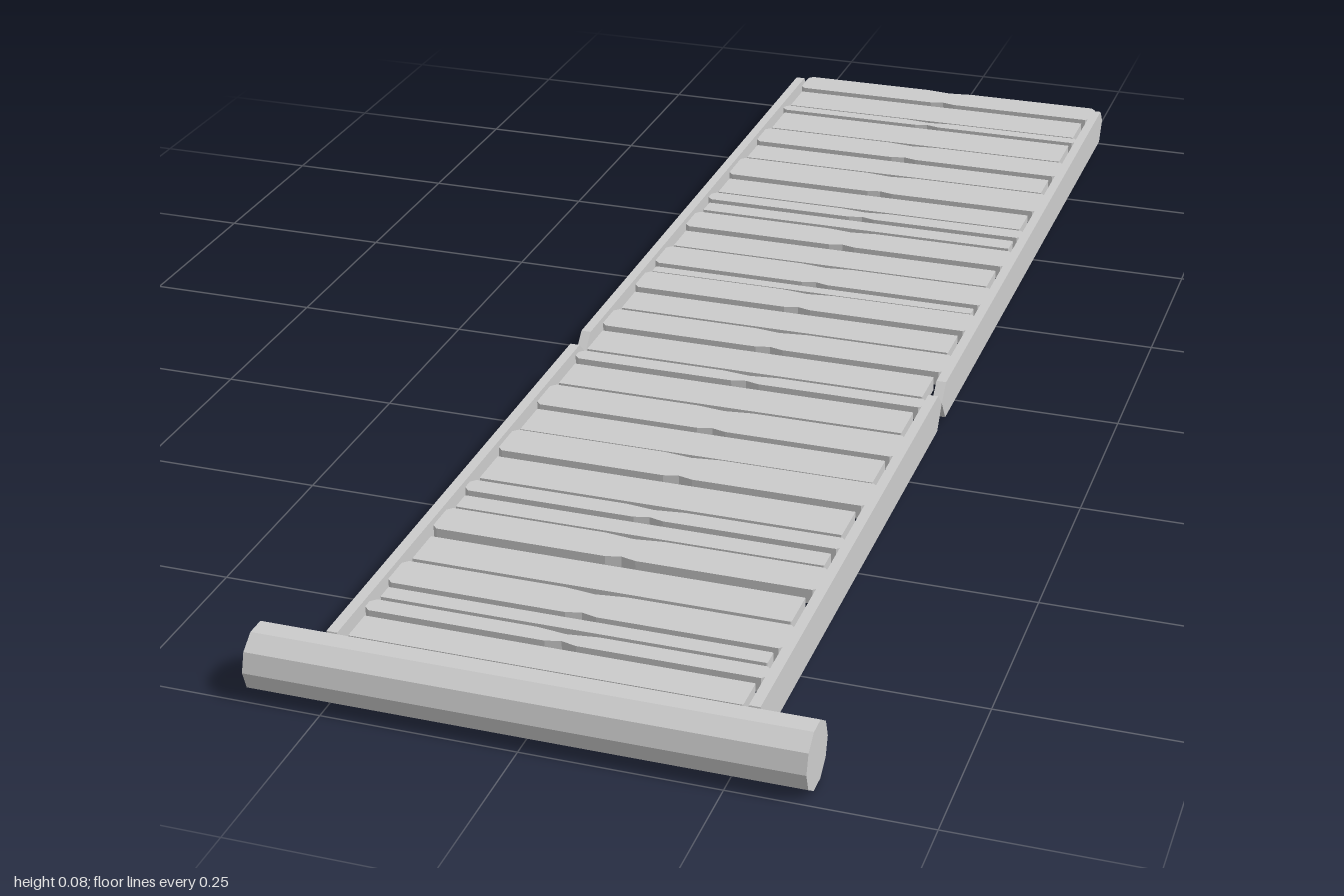
import * as THREE from 'three';

const wood = new THREE.MeshStandardMaterial({ color: 0xcccccc, flatShading: true });

function add(group, name, geometry, x = 0, y = 0, z = 0) {
  const mesh = new THREE.Mesh(geometry, wood);
  mesh.name = name;
  mesh.position.set(x, y, z);
  group.add(mesh);
  return mesh;
}

function extrude(points, depth) {
  const shape = new THREE.Shape(points.map(([a, b]) => new THREE.Vector2(a, b)));
  return new THREE.ExtrudeGeometry(shape, { depth, bevelEnabled: false });
}

// Board lying flat: outline in x/z, top face at y = 0
function plankGeometry(x0, x1, width, chip, notch, thickness) {
  const h = width / 2;
  const g = extrude([
    [x0, -h + chip], [x0 + chip, -h], [-0.04, -h], [0, -h + notch], [0.04, -h],
    [x1 - chip, -h], [x1, -h + chip], [x1, h - chip], [x1 - chip, h],
    [0.02, h], [0, h - notch], [-0.02, h], [x0 + chip, h], [x0, h - chip],
  ], thickness);
  return g.rotateX(Math.PI / 2);
}

// Upright side board: outline in z/y with chipped ends
function railGeometry(z0, z1, backTip, frontTip) {
  const low = 0.015, high = 0.07, mid = 0.048;
  const g = extrude([
    [-z0, mid], [-z0 - backTip, high], [-z1 + frontTip, high], [-z1, mid],
    [-z1 + frontTip, low], [-z0 - backTip, low],
  ].reverse(), 0.014);
  // outline x becomes -z, extrusion becomes x
  return g.rotateY(Math.PI / 2);
}

export function createModel() {
  const model = new THREE.Group();
  model.name = 'plankBridge';

  // Log across the front end
  add(model, 'endLog', new THREE.CylinderGeometry(0.042, 0.042, 0.695, 10).rotateZ(Math.PI / 2), 0, 0.042, 0.958);

  // Deck planks: start and end along z
  const spans = [
    [-1, -0.945], [-0.935, -0.868], [-0.858, -0.838], [-0.832, -0.76], [-0.75, -0.69],
    [-0.68, -0.625], [-0.615, -0.543], [-0.532, -0.475], [-0.465, -0.437], [-0.43, -0.4],
    [-0.385, -0.327], [-0.316, -0.258], [-0.248, -0.185], [-0.178, -0.16], [-0.152, -0.095],
    [-0.084, -0.026], [-0.015, 0.042], [0.053, 0.116], [0.127, 0.153], [0.164, 0.227],
    [0.238, 0.3], [0.308, 0.37], [0.377, 0.438], [0.45, 0.512], [0.523, 0.552],
    [0.56, 0.591], [0.6, 0.655], [0.67, 0.728], [0.739, 0.793], [0.799, 0.823],
    [0.834, 0.86], [0.868, 0.915],
  ];
  const deck = new THREE.Group();
  deck.name = 'deck';
  model.add(deck);
  spans.forEach(([z0, z1], i) => {
    const worn = i % 2 === 0;
    const geo = worn
      ? plankGeometry(-0.255, 0.257, z1 - z0, 0.007, 0.005, 0.02)
      : plankGeometry(-0.249, 0.246, z1 - z0, 0.001, 0, 0.02);
    add(deck, 'plank', geo, 0, worn ? 0.065 : 0.062, (z0 + z1) / 2);
  });

  for (const side of [1, -1]) {
    // Side boards, meeting in a chipped joint
    const x = side > 0 ? 0.256 : -0.272;
    add(model, 'backSideBoard', railGeometry(-0.995, 0.1, 0.018, 0.022), x);
    add(model, 'frontSideBoard', railGeometry(0.1, 0.93, 0.022, 0.005), x);

    // Supporting beams below the deck
    add(model, 'backBeam', new THREE.BoxGeometry(0.06, 0.02, 1.01), side * 0.165, 0.034, -0.445);
    add(model, 'frontBeam', new THREE.BoxGeometry(0.06, 0.02, 0.83), side * 0.165, 0.034, 0.505);
  }

  // Diagonal brace under the beams
  const brace = add(model, 'diagonalBrace', new THREE.BoxGeometry(0.41, 0.012, 0.06), -0.01, 0.02, 0.05);
  brace.rotation.y = Math.atan2(0.25, 0.32);

  return model;
}
